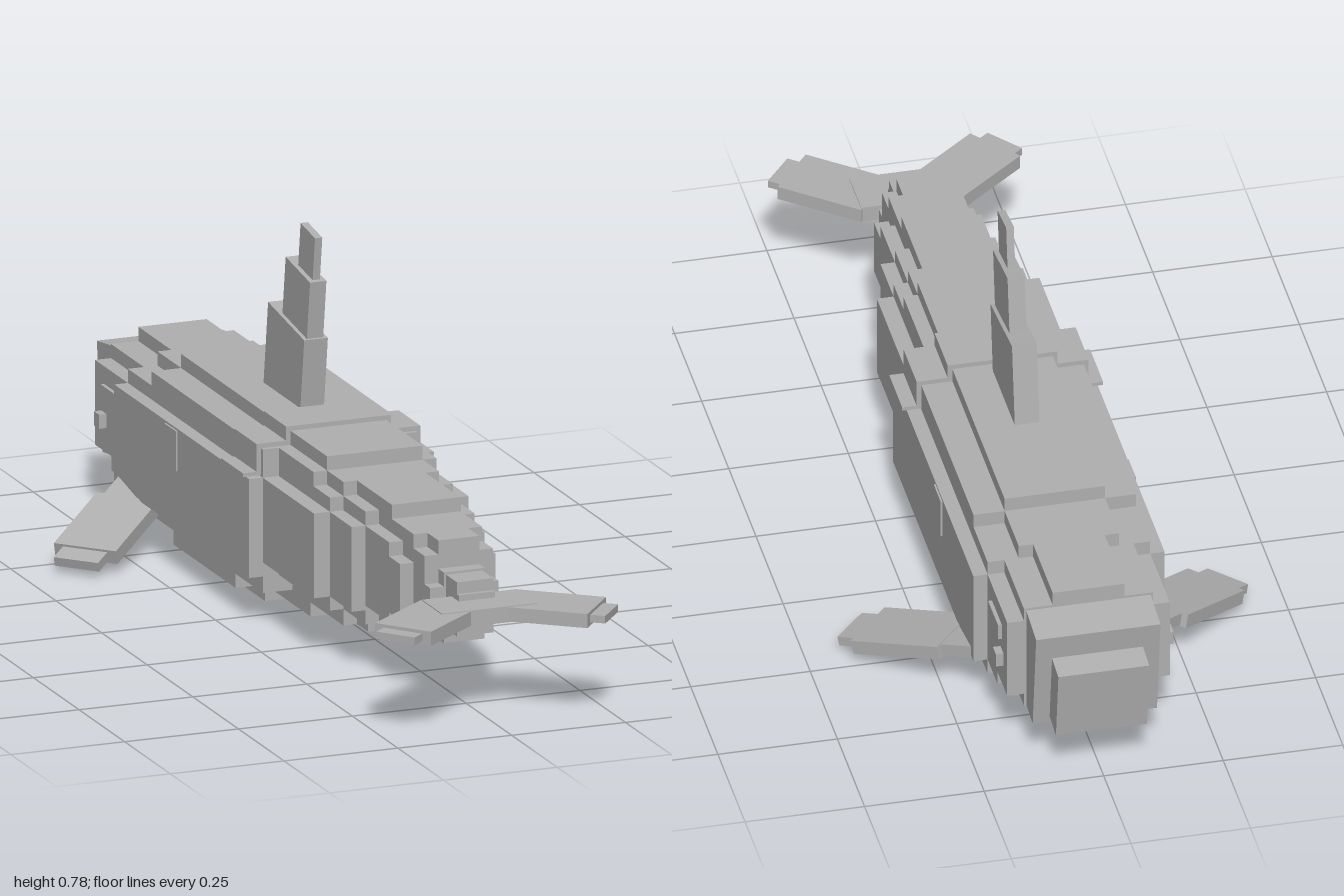
import * as THREE from 'three';

const grey = new THREE.MeshStandardMaterial({ color: 0xb0b0b0 });
grey.name = 'grey';

function box(parent, name, w, h, d, x, y, z, tilt = 0) {
  const mesh = new THREE.Mesh(new THREE.BoxGeometry(w, h, d), grey);
  mesh.name = name;
  mesh.position.set(x, y, z);
  mesh.rotation.x = tilt;
  parent.add(mesh);
}

// A centred block: half width, bottom, top, front z, back z
function block(parent, name, [w, y0, y1, z0, z1]) {
  box(parent, name, 2 * w, y1 - y0, z1 - z0, 0, (y0 + y1) / 2, (z0 + z1) / 2);
}

// Narrow, tall blocks that step along the back and belly
const spine = [
  [0.105, 0.1, 0.4, -0.55, 0.25],
  [0.105, 0.065, 0.37, -0.68, 0.34],
  [0.105, 0.035, 0.3, -0.68, 0.16],
  [0.105, 0, 0.3, -0.43, -0.09],
  [0.075, 0.035, 0.3, -0.77, 0],
  [0.075, 0.065, 0.37, -0.86, 0.4],
  [0.075, 0.1, 0.37, 0, 0.53],
  [0.075, 0.1, 0.34, 0.4, 0.59],
];
// Medium blocks that step along the upper and lower flanks
const flanks = [
  [0.17, 0.065, 0.37, -0.55, 0.06],
  [0.17, 0.035, 0.3, -0.43, -0.09],
  [0.17, 0.065, 0.34, -0.68, 0],
  [0.135, 0.065, 0.34, -0.77, 0],
  [0.135, 0.1, 0.34, -0.86, 0.34],
  [0.135, 0.1, 0.37, 0, 0.25],
  [0.105, 0.1, 0.34, 0.3, 0.46],
];
// Wide, low blocks along the sides
const sides = [
  [0.2, 0.1, 0.31, -0.68, 0.06],
  [0.17, 0.1, 0.31, -0.77, 0],
  [0.17, 0.13, 0.31, -0.86, 0.34],
  [0.135, 0.13, 0.31, 0.3, 0.46],
  [0.105, 0.14, 0.31, 0.4, 0.59],
  [0.105, 0.16, 0.28, 0.5, 0.65],
];
// Tapering rear end
const rear = [
  [0.075, 0.13, 0.34, 0.5, 0.65],
  [0.045, 0.13, 0.34, 0.6, 0.71],
  [0.075, 0.16, 0.31, 0.6, 0.71],
  [0.045, 0.13, 0.28, 0.7, 0.74],
  [0.075, 0.16, 0.25, 0.7, 0.74],
  [0.04, 0.16, 0.275, 0.7, 0.8],
];

// A swept fin: boxes along its own x axis given as [start, end, thickness, chord]
function fin(name, side, position, yaw, droop, parts) {
  const group = new THREE.Group();
  group.name = name;
  group.position.set(side * position[0], position[1], position[2]);
  group.rotation.set(0, -side * yaw, -side * droop, 'YZX');
  parts.forEach(([a, b, t, chord], i) =>
    box(group, name + 'Segment' + (i + 1), b - a, t, chord, side * (a + b) / 2, 0, 0));
  return group;
}

export function createModel() {
  const model = new THREE.Group();
  model.name = 'whale';

  const body = new THREE.Group();
  body.name = 'body';
  model.add(body);
  for (const b of spine) block(body, 'spineBlock', b);
  for (const b of flanks) block(body, 'flankBlock', b);
  for (const b of sides) block(body, 'sideBlock', b);
  for (const b of rear) block(body, 'rearBlock', b);

  // Saddle band behind the dorsal fin
  for (const [w, y0, y1] of [[0.115, 0.32, 0.41], [0.18, 0.32, 0.38], [0.21, 0.313, 0.321]])
    block(model, 'saddle', [w, y0, y1, -0.07, 0.05]);

  // Tilted snout
  box(model, 'snout', 0.26, 0.23, 0.1, 0, 0.215, -0.885, -0.14);
  box(model, 'snoutTip', 0.19, 0.16, 0.08, 0, 0.185, -0.95, -0.14);

  // Dorsal fin, leaning back
  box(model, 'dorsalFinBase', 0.052, 0.22, 0.2, 0, 0.455, -0.187, 0.14);
  box(model, 'dorsalFinMiddle', 0.036, 0.15, 0.135, 0, 0.61, -0.138, 0.14);
  box(model, 'dorsalFinTip', 0.016, 0.13, 0.08, 0, 0.71, -0.107, 0.14);

  // Tail stock and fluke root
  box(model, 'tailStock', 0.08, 0.06, 0.12, 0, 0.22, 0.75);
  box(model, 'flukeRoot', 0.21, 0.034, 0.11, 0, 0.22, 0.825);

  for (const side of [1, -1]) {
    model.add(fin('flipper', side, [0.17, 0.105, -0.61], 0.745, 0.26,
      [[-0.04, 0.1, 0.026, 0.11], [0.06, 0.27, 0.03, 0.14], [0.2, 0.315, 0.02, 0.1]]));
    model.add(fin('fluke', side, [0.065, 0.22, 0.816], 0.68, 0,
      [[0, 0.19, 0.03, 0.13], [0.15, 0.222, 0.016, 0.09]]));

    // Side details
    box(model, 'eyePatch', 0.012, 0.035, 0.09, side * 0.172, 0.255, -0.765);
    box(model, 'eye', 0.03, 0.03, 0.028, side * 0.171, 0.197, -0.812);
    box(model, 'sidePatch', 0.01, 0.085, 0.065, side * 0.199, 0.263, -0.365);
  }
  return model;
}
